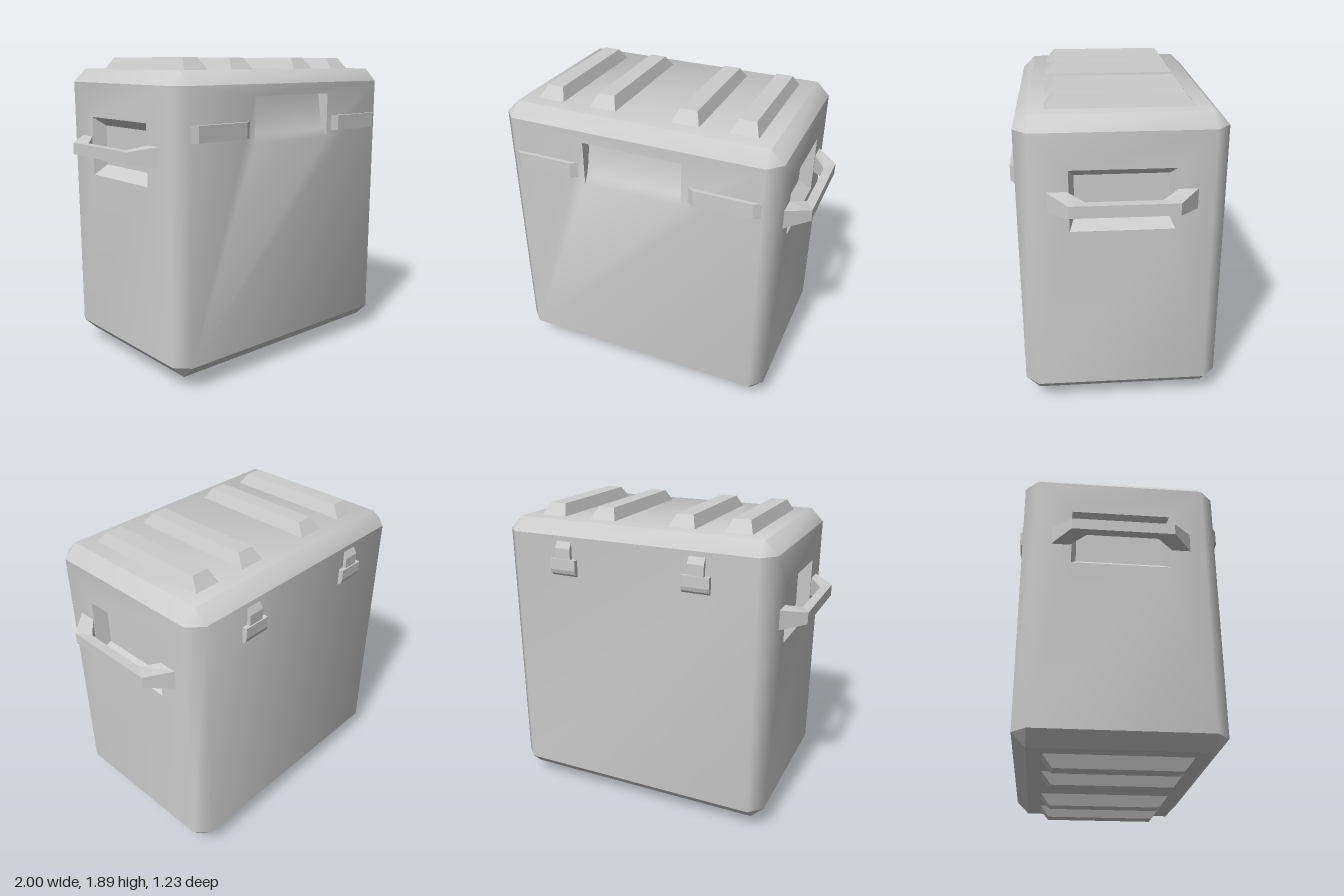
import * as THREE from 'three';
import { mergeGeometries, toCreasedNormals } from 'three/addons/utils/BufferGeometryUtils.js';

const W = 0.865, D = 0.585, BEVEL = 0.08, LOW = 0.15, HIGH = 1.74;
const WI = W - BEVEL, DI = D - BEVEL;

// Flat-faced geometry from convex polygons given as lists of [x, y, z]
function polys(list) {
  const pos = [], e1 = new THREE.Vector3(), e2 = new THREE.Vector3();
  for (const p of list) {
    for (let i = 1; i < p.length - 1; i++) {
      const [a, b, c] = [p[0], p[i], p[i + 1]].map(v => new THREE.Vector3(...v));
      if (e1.subVectors(b, a).cross(e2.subVectors(c, a)).length() < 1e-8) continue;
      for (const v of [a, b, c]) pos.push(v.x, v.y, v.z);
    }
  }
  const g = new THREE.BufferGeometry();
  g.setAttribute('position', new THREE.Float32BufferAttribute(pos, 3));
  g.computeVertexNormals();
  return g;
}

// Skin between successive rings, counter-clockwise about the direction of travel
function loft(rings, capStart = true, capEnd = true) {
  const list = [];
  for (let k = 0; k < rings.length - 1; k++) {
    const a = rings[k], b = rings[k + 1];
    a.forEach((p, i) => {
      const j = (i + 1) % a.length;
      list.push([p, a[j], b[j], b[i]]);
    });
  }
  if (capStart) list.push([...rings[0]].reverse());
  if (capEnd) list.push(rings[rings.length - 1]);
  return polys(list);
}

const rectY = (y, w, d, cx = 0) => [[cx - w, y, d], [cx + w, y, d], [cx + w, y, -d], [cx - w, y, -d]];
const rectX = (x, y0, y1, d) => [[x, y0, -d], [x, y1, -d], [x, y1, d], [x, y0, d]];
const rectZ = (z, x0, x1, y0, y1) => [[x0, y0, z], [x1, y0, z], [x1, y1, z], [x0, y1, z]];
const octagon = (y, w, d, wi, di) => [[-wi, y, d], [wi, y, d], [w, y, di], [w, y, -di],
  [wi, y, -d], [-wi, y, -d], [-w, y, -di], [-w, y, di]];

// Wall panel in the xy plane with an optional rectangular opening [halfWidth, y0, y1]
function panel(half, hole) {
  const rect = (h, y0, y1) => [[-h, y0], [h, y0], [h, y1], [-h, y1]].map(p => new THREE.Vector2(...p));
  const s = new THREE.Shape(rect(half, LOW, HIGH));
  if (hole) s.holes.push(new THREE.Path(rect(...hole).reverse()));
  const g = new THREE.ShapeGeometry(s).toNonIndexed();
  g.deleteAttribute('uv');
  return g;
}

// Scooped finger grip: shallow at the bottom, deepest under its upper lip
function scoop(h) {
  const prof = [[1.4, 0], [1.45, 0.03], [1.52, 0.055], [1.6, 0.07], [1.67, 0.075]];
  const at = (x, [y, d]) => [x, y, D - d];
  const list = [];
  for (let i = 0; i < prof.length - 1; i++) {
    list.push([at(-h, prof[i]), at(h, prof[i]), at(h, prof[i + 1]), at(-h, prof[i + 1])]);
  }
  const edge = [...prof, [1.67, 0]];
  list.push(edge.map(p => at(-h, p)), edge.map(p => at(h, p)).reverse());
  list.push([at(-h, prof[4]), at(h, prof[4]), at(h, edge[5]), at(-h, edge[5])]);
  return polys(list);
}

function wallGeometry() {
  const side = panel(DI, [0.295, 1.17, 1.53]).rotateY(Math.PI / 2).translate(W, 0, 0);
  const recess = loft([rectX(W, 1.17, 1.53, 0.295), rectX(W - 0.08, 1.23, 1.475, 0.265)], false, true);
  const corners = [];
  const lo = octagon(LOW, W, D, WI, DI), hi = octagon(HIGH, W, D, WI, DI);
  for (const i of [1, 3, 5, 7]) {
    const j = (i + 1) % 8;
    corners.push([lo[i], lo[j], hi[j], hi[i]]);
  }
  return toCreasedNormals(mergeGeometries([
    panel(WI, [0.31, 1.4, 1.67]).translate(0, 0, D), scoop(0.31),
    panel(WI).translate(0, 0, D).rotateY(Math.PI),
    side, recess, side.clone().rotateY(Math.PI), recess.clone().rotateY(Math.PI),
    polys(corners),
  ]), 0.85);
}

// Side profile (depth behind the back wall, height) extruded across the width
function hingePart(profile, width) {
  const s = new THREE.Shape(profile.map(p => new THREE.Vector2(...p)));
  return new THREE.ExtrudeGeometry(s, { depth: width, bevelEnabled: false })
    .translate(0, 0, -width / 2).rotateY(Math.PI / 2);
}

export function createModel() {
  const model = new THREE.Group();
  const material = new THREE.MeshStandardMaterial({ color: 0xcccccc });
  const add = (name, geometry, parent = model) => {
    const m = new THREE.Mesh(geometry, material);
    m.name = name;
    parent.add(m);
    return m;
  };

  // Body shell
  add('bodyWalls', wallGeometry());
  const wallTop = octagon(HIGH, W, D, WI, DI), wallBottom = octagon(LOW, W, D, WI, DI);
  add('lidTop', toCreasedNormals(loft([wallTop, octagon(1.82, WI, DI, WI, DI)], false, true), 0.85));
  add('bodyBase', loft([octagon(0.07, WI, DI, WI, DI), wallBottom], true, false));

  // Ribs on the lid and matching feet below
  for (const x of [-0.605, -0.26, 0.26, 0.605]) {
    add('lidRib', loft([rectY(1.815, 0.086, 0.42, x), rectY(1.89, 0.052, 0.36, x)]));
    add('footRib', loft([rectY(0, 0.052, 0.36, x), rectY(0.075, 0.086, 0.42, x)]));
  }

  // Carrying handles bowed out over the side recesses
  const section = (xo, zo, xi, zi, y0, y1) => [[xo, y0, zo], [xo, y1, zo], [xi, y1, zi], [xi, y0, zi]];
  const handle = loft([
    section(0.86, -0.42, 0.86, -0.31, 1.29, 1.41),
    section(1, -0.3, 0.945, -0.21, 1.31, 1.38),
    section(1, 0.3, 0.945, 0.21, 1.31, 1.38),
    section(0.86, 0.42, 0.86, 0.31, 1.29, 1.41),
  ]);
  add('leftHandle', handle);
  add('rightHandle', handle).rotation.y = Math.PI;

  // Raised trim bars either side of the grip
  for (const s of [-1, 1]) {
    const bar = loft([rectZ(0.58, -0.222, 0.222, 1.435, 1.53), rectZ(0.61, -0.175, 0.175, 1.435, 1.53)]);
    add('frontTrim', bar).position.x = s * 0.567;
  }

  // Hinges on the back
  for (const s of [-1, 1]) {
    const hinge = new THREE.Group();
    hinge.name = 'hinge';
    hinge.position.set(s * 0.43, 0, -D);
    add('hingeKnuckle', hingePart([[-0.01, 1.5], [0.005, 1.5], [0.022, 1.515], [0.03, 1.54], [0.03, 1.605], [-0.01, 1.605]], 0.17), hinge);
    add('hingeTab', hingePart([[-0.01, 1.59], [0.022, 1.59], [0.022, 1.67], [0, 1.71], [-0.01, 1.71]], 0.1), hinge);
    model.add(hinge);
  }
  return model;
}
